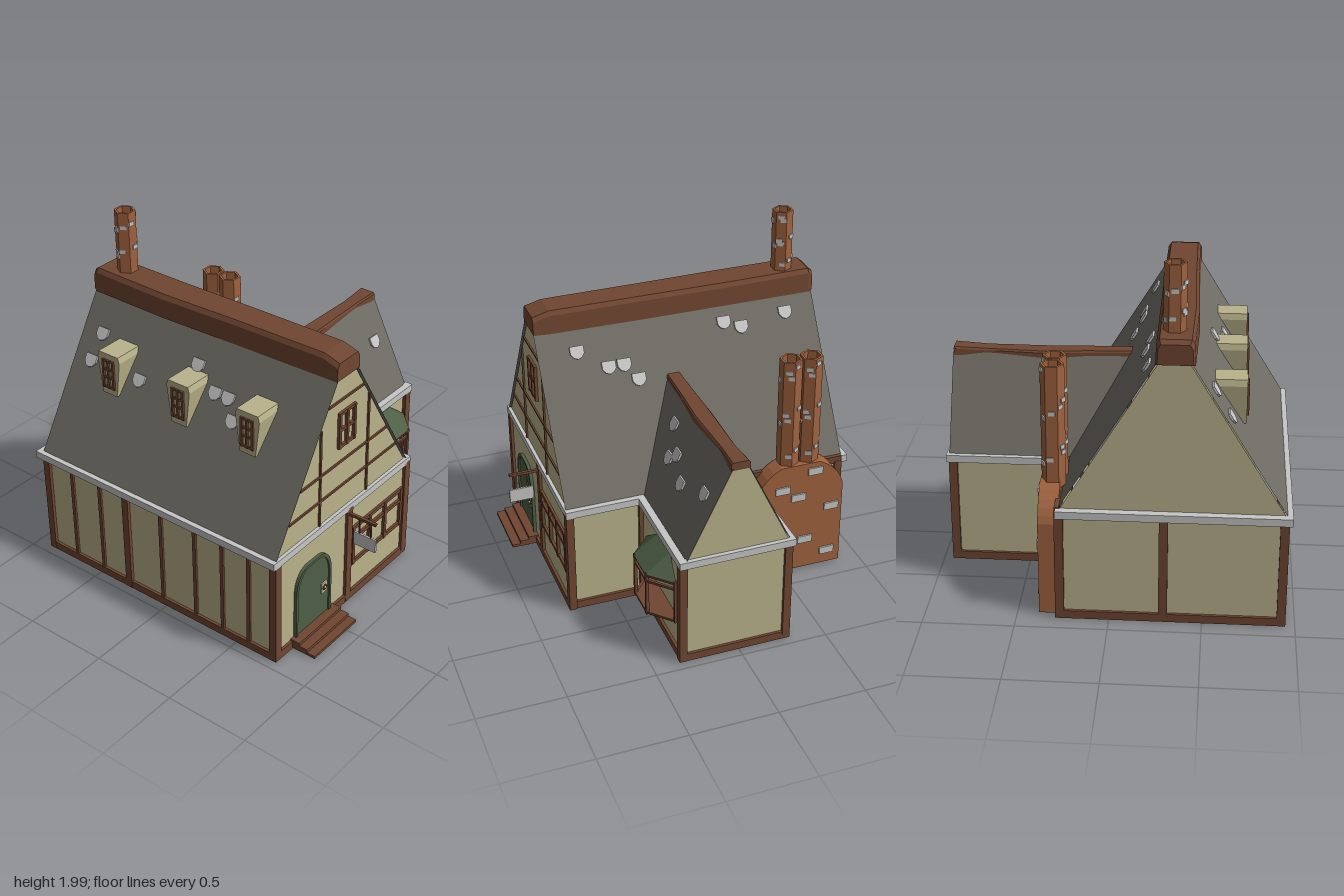
import * as THREE from 'three';

const mat = (name, color, side = THREE.FrontSide) => {
  const m = new THREE.MeshStandardMaterial({ color, side, flatShading: true });
  m.name = name;
  return m;
};

export function createModel() {
  const root = new THREE.Group();
  const cream = mat('plaster', 0xbab38c, THREE.DoubleSide);
  const wood = mat('wood', 0x704632);
  const brick = mat('brick', 0xa0623f);
  const slate = mat('slate', 0x6f6c65, THREE.DoubleSide);
  const stone = mat('stone', 0xc6c6c6, THREE.DoubleSide);
  const green = mat('green', 0x4f5f47);
  const brass = mat('brass', 0xcabf90);

  const add = (name, geo, m, parent = root) => {
    const mesh = new THREE.Mesh(geo, m);
    mesh.name = name;
    parent.add(mesh);
    return mesh;
  };
  const group = (name, parent = root) => {
    const g = new THREE.Group();
    g.name = name;
    parent.add(g);
    return g;
  };
  // Box given by its limits on each axis
  const box = (name, m, x0, x1, y0, y1, z0, z1, parent = root) => {
    const mesh = add(name, new THREE.BoxGeometry(x1 - x0, y1 - y0, z1 - z0), m, parent);
    mesh.position.set((x0 + x1) / 2, (y0 + y1) / 2, (z0 + z1) / 2);
    return mesh;
  };
  // Square bar between two points
  const bar = (name, m, p, q, t, parent = root) => {
    const a = new THREE.Vector3(...p), b = new THREE.Vector3(...q);
    const mesh = add(name, new THREE.BoxGeometry(t, t, a.distanceTo(b) + t * 0.6), m, parent);
    mesh.position.copy(a).add(b).multiplyScalar(0.5);
    mesh.lookAt(b);
    return mesh;
  };
  // Flat convex polygon
  const panel = (name, m, pts) => {
    const idx = [];
    for (let i = 1; i < pts.length - 1; i++) idx.push(0, i, i + 1);
    const g = new THREE.BufferGeometry();
    g.setAttribute('position', new THREE.Float32BufferAttribute(pts.flat(), 3));
    g.setIndex(idx);
    g.computeVertexNormals();
    return add(name, g, m);
  };
  const shapeOf = pts => new THREE.Shape(pts.map(p => new THREE.Vector2(...p)));
  // Upright prism from a plan shape
  const prism = (shape, y0, y1) => new THREE.ExtrudeGeometry(shape, { depth: y1 - y0, bevelEnabled: false })
    .rotateX(-Math.PI / 2).translate(0, y0, 0);

  // L-shaped plan, moved outward by o
  const plan = o => [[-0.93 - o, 0.755 + o], [0.275 + o, 0.755 + o], [0.275 + o, 0.325 + o], [0.93 + o, 0.325 + o],
    [0.93 + o, -0.285 - o], [0.275 + o, -0.285 - o], [0.275 + o, -0.885 - o], [-0.93 - o, -0.885 - o]].map(([x, z]) => [x, -z]);
  const ring = (out, inn, y0, y1) => {
    const s = shapeOf(plan(out));
    s.holes.push(shapeOf(plan(inn)));
    return prism(s, y0, y1);
  };
  add('walls', ring(0, -0.015, 0.02, 0.66), cream);
  add('baseBeam', ring(0.016, -0.03, 0.008, 0.055), wood);

  // Timber posts and studs
  const posts = group('posts');
  for (const [x, z] of [[-0.925, 0.75], [-0.285, 0.75], [0.275, 0.75], [0.275, 0.325], [0.925, 0.325], [0.925, -0.28],
    [0.275, -0.28], [0.265, -0.88], [-0.29, -0.88], [-0.925, -0.88], [-0.925, -0.28], [-0.29, -0.28], [-0.29, 0.325]])
    box('post', wood, x - 0.024, x + 0.024, 0.01, 0.65, z - 0.022, z + 0.022, posts);
  for (const z of [-0.69, -0.48, -0.03, 0.21, 0.4, 0.58])
    box('leftStud', wood, -0.942, -0.92, 0.02, 0.65, z - 0.011, z + 0.011, posts);
  box('sideTopBeam', wood, 0.255, 0.287, 0.635, 0.68, -0.9, -0.29);

  // Inner partitions
  box('partition', stone, 0.27, 0.28, 0.02, 0.65, -0.28, 0.325);
  box('partition', stone, -0.295, -0.285, 0.02, 0.65, -0.28, 0.325);
  box('partition', stone, -0.92, -0.29, 0.02, 0.65, -0.285, -0.275);

  // Pale eaves band
  const eaves = group('eavesBand');
  for (const [x0, x1, z0, z1] of [[-0.965, 0.3, 0.735, 0.772], [-0.965, -0.92, -0.94, 0.772], [-0.965, 0.28, -0.94, -0.885],
    [0.262, 0.3, 0.31, 0.772], [0.262, 0.96, 0.31, 0.35], [0.92, 0.96, -0.315, 0.35], [0.262, 0.96, -0.315, -0.275]])
    box('band', stone, x0, x1, 0.632, 0.675, z0, z1, eaves);

  // Main roof and gables
  const RX = -0.335;
  for (const s of [-1, 1])
    panel('mainRoofSlope', slate, [[RX + s * 0.61, 0.66, 0.765], [RX + s * 0.61, 0.66, -0.905],
      [RX + s * 0.085, 1.52, -0.905], [RX + s * 0.085, 1.52, 0.765]]);
  for (const z of [0.752, -0.895])
    panel('mainGable', cream, [[RX - 0.6, 0.66, z], [RX + 0.6, 0.66, z], [RX + 0.075, 1.52, z], [RX - 0.075, 1.52, z]]);
  // Wing roof and gable
  const RZ = 0.01;
  for (const s of [-1, 1])
    panel('wingRoofSlope', slate, [[-0.05, 0.665, RZ + s * 0.3], [0.945, 0.665, RZ + s * 0.3],
      [0.945, 1.19, RZ + s * 0.045], [-0.05, 1.19, RZ + s * 0.045]]);
  panel('wingGable', cream, [[0.935, 0.66, RZ - 0.295], [0.935, 0.66, RZ + 0.295], [0.935, 1.19, RZ + 0.042], [0.935, 1.19, RZ - 0.042]]);

  // Ridge cap lofted along z; sections are [z, half width, bottom, top, shift]
  const ridge = (sections, c) => {
    const pos = [], idx = [], n = 6;
    for (const [z, w, yb, yt, o] of sections)
      for (const [x, y] of [[-w, yb], [-w * 0.96, yt - c], [-w * 0.8, yt], [w * 0.8, yt], [w * 0.96, yt - c], [w, yb]])
        pos.push(x + o, y, z);
    for (let k = 0; k < sections.length - 1; k++)
      for (let i = 0; i < n; i++) {
        const a = k * n + i, a2 = k * n + (i + 1) % n;
        idx.push(a, a + n, a2 + n, a, a2 + n, a2);
      }
    const e = (sections.length - 1) * n;
    for (let i = 1; i < n - 1; i++) idx.push(0, i, i + 1, e, e + i + 1, e + i);
    const g = new THREE.BufferGeometry();
    g.setAttribute('position', new THREE.Float32BufferAttribute(pos, 3));
    g.setIndex(idx);
    g.computeVertexNormals();
    return g;
  };
  add('mainRidge', ridge([[-0.915, 0.092, 1.51, 1.62, -0.005], [-0.89, 0.102, 1.5, 1.64, -0.005], [-0.4, 0.108, 1.5, 1.635, -0.008],
    [0.1, 0.102, 1.5, 1.637, 0], [0.67, 0.098, 1.503, 1.637, 0.003], [0.765, 0.1, 1.508, 1.61, 0]], 0.025), wood)
    .position.x = RX;
  add('wingRidge', ridge([[-0.07, 0.043, 1.17, 1.22, 0], [0.2, 0.048, 1.17, 1.215, 0], [0.4, 0.056, 1.165, 1.208, 0],
    [0.75, 0.045, 1.17, 1.213, 0], [0.94, 0.055, 1.175, 1.222, 0]], 0.01).rotateY(Math.PI / 2), wood)
    .position.z = RZ;

  // Loose roof tiles: shield shapes laid on the slopes
  const shield = shapeOf([[-0.04, 0.035], [-0.04, -0.008], [-0.024, -0.03], [0, -0.04], [0.024, -0.03], [0.04, -0.008], [0.04, 0.035]]);
  const tileGeo = new THREE.ExtrudeGeometry(shield, { depth: 0.012, bevelEnabled: false });
  const tiles = group('roofTiles');
  const tile = (p, up) => {
    const u = new THREE.Vector3(...up).normalize();
    const flat = new THREE.Vector3(-up[0], 0, -up[2]).normalize();
    const r = new THREE.Vector3(0, 1, 0).cross(flat);
    const mesh = add('tile', tileGeo, stone, tiles);
    mesh.quaternion.setFromRotationMatrix(new THREE.Matrix4().makeBasis(r, u, r.clone().cross(u)));
    mesh.position.set(...p);
  };
  const mainX = y => 0.61 - (y - 0.66) * 0.525 / 0.86;
  for (const [z, y] of [[0.54, 1.395], [0.375, 1.3], [0.285, 1.3], [0.215, 1.22], [-0.34, 1.42], [-0.44, 1.385], [-0.72, 1.42]])
    tile([RX + mainX(y), y, z], [-0.525, 0.86, 0]);
  for (const [x, z] of [[-0.63, -0.78], [-0.545, -0.76], [-0.63, -0.42], [-0.525, -0.08], [-0.58, 0.08], [-0.58, 0.17], [-0.635, 0.24]])
    tile([x, 0.66 + (x + 0.945) * 0.86 / 0.525, z], [0.525, 0.86, 0]);
  for (const [x, y] of [[0.235, 1.07], [0.4, 0.975], [0.335, 0.925], [0.56, 0.895], [0.81, 0.975]])
    tile([x, y, RZ + 0.3 - (y - 0.665) * 0.255 / 0.525], [0, 0.525, -0.255]);

  // Window frame centred on the origin, facing +z
  const windowFrame = (name, w, h, t, verticals, horizontals) => {
    const g = group(name);
    for (const x of [-w / 2 + t / 2, w / 2 - t / 2, ...verticals]) box('upright', wood, x - t / 2, x + t / 2, -h / 2, h / 2, -0.01, 0.015, g);
    for (const y of [-h / 2 + t / 2, h / 2 - t / 2, ...horizontals]) box('crossbar', wood, -w / 2, w / 2, y - t / 2, y + t / 2, -0.01, 0.012, g);
    return g;
  };
  windowFrame('frontWindow', 0.49, 0.255, 0.022, [-0.075, 0.075], [0.045]).position.set(-0.007, 0.363, 0.757);
  windowFrame('gableWindow', 0.15, 0.22, 0.018, [0], [0]).position.set(-0.328, 1.193, 0.754);

  // Gable timbers
  const timbers = group('gableTimbers');
  for (const [y, x0, x1] of [[0.83, -0.82, 0.15], [0.99, -0.725, 0.055], [1.375, -0.49, -0.18]])
    box('rail', wood, x0, x1, y - 0.006, y + 0.006, 0.75, 0.761, timbers);
  box('stud', wood, -0.559, -0.547, 0.67, 1.27, 0.75, 0.762, timbers);
  box('stud', wood, -0.13, -0.117, 0.67, 1.3, 0.75, 0.762, timbers);

  // Dormers on the left slope, narrowing downward
  const dormerShape = shapeOf([[-0.052, 1.07], [0.052, 1.07], [0.08, 1.29], [0.07, 1.325], [-0.07, 1.325], [-0.08, 1.29]]);
  for (const z of [-0.57, -0.07, 0.4]) {
    const g = new THREE.ExtrudeGeometry(dormerShape, { depth: 0.18, bevelEnabled: false });
    g.rotateY(-Math.PI / 2).translate(-0.53, 0, z);
    add('dormer', g, cream);
    const w = windowFrame('dormerWindow', 0.085, 0.18, 0.014, [0], [-0.02, 0.03]);
    w.rotation.y = -Math.PI / 2;
    w.position.set(-0.706, 1.2, z);
  }

  // Arched door with raised surround, lock plate and knob
  const arch = (w, y0, top) => {
    const s = new THREE.Shape();
    s.moveTo(-w, y0);
    s.lineTo(w, y0);
    s.lineTo(w, top - 0.16);
    s.bezierCurveTo(w, top - 0.04, w * 0.6, top, w * 0.3, top);
    s.lineTo(-w * 0.3, top);
    s.bezierCurveTo(-w * 0.6, top, -w, top - 0.04, -w, top - 0.16);
    return s;
  };
  const door = group('door');
  door.position.set(-0.612, 0, 0.75);
  const surround = arch(0.158, 0.055, 0.492);
  surround.holes.push(arch(0.142, 0.056, 0.475));
  add('doorSurround', new THREE.ExtrudeGeometry(surround, { depth: 0.024, bevelEnabled: false }), green, door);
  add('doorLeaf', new THREE.ExtrudeGeometry(arch(0.143, 0.055, 0.476), { depth: 0.014, bevelEnabled: false }), green, door);
  box('lockPlate', brass, 0.074, 0.126, 0.213, 0.28, 0.012, 0.021, door);
  add('knobRing', new THREE.TorusGeometry(0.015, 0.004, 6, 12), wood, door).position.set(0.1, 0.247, 0.022);
  add('knob', new THREE.SphereGeometry(0.009, 8, 6), brass, door).position.set(0.1, 0.247, 0.026);
  [[0.01, 0.027, 0.918], [0.027, 0.045, 0.868], [0.045, 0.063, 0.815]].forEach(([y0, y1, z]) =>
    box('doorStep', wood, -0.798, -0.413, y0, y1, 0.74, z));

  // Hanging board beside the door
  const sign = group('hangingBoard');
  box('bracket', wood, -0.296, -0.278, 0.6, 0.616, 0.76, 0.942, sign);
  for (const z of [0.835, 0.91]) box('hanger', wood, -0.29, -0.284, 0.5, 0.605, z - 0.004, z + 0.004, sign);
  box('board', stone, -0.293, -0.281, 0.425, 0.508, 0.802, 0.945, sign);

  // Bay window: open timber frame under a hipped green roof
  const bay = group('bayWindow');
  const foot = [[0.43, 0.345], [0.56, 0.463], [0.75, 0.463], [0.877, 0.345]];
  for (const [x, z] of foot) bar('bayPost', wood, [x, 0.24, z], [x, 0.5, z], 0.018, bay);
  for (let i = 0; i < 3; i++)
    for (const y of [0.245, 0.455, 0.492])
      bar('bayRail', wood, [foot[i][0], y, foot[i][1]], [foot[i + 1][0], y, foot[i + 1][1]], 0.014, bay);
  add('baySill', prism(shapeOf([...foot, [0.877, 0.325], [0.43, 0.325]].map(([x, z]) => [x, -z])), 0.237, 0.25), wood, bay);
  const E = [[0.415, 0.5, 0.325], [0.415, 0.5, 0.345], [0.555, 0.5, 0.474], [0.755, 0.5, 0.474], [0.887, 0.5, 0.345], [0.887, 0.5, 0.325]];
  const T = [[0.56, 0.607, 0.33], [0.75, 0.607, 0.33]];
  panel('bayRoofLeft', green, [E[1], E[2], T[0]]);
  panel('bayRoofFront', green, [E[2], E[3], T[1], T[0]]);
  panel('bayRoofRight', green, [E[3], E[4], T[1]]);
  panel('bayRoofUnder', green, [...E].reverse());

  // Great chimney breast with rounded shoulders
  const breast = new THREE.Shape();
  breast.moveTo(0.33, 0.02);
  breast.lineTo(0.87, 0.02);
  breast.lineTo(0.87, 0.56);
  breast.quadraticCurveTo(0.845, 0.67, 0.72, 0.735);
  breast.lineTo(0.48, 0.735);
  breast.quadraticCurveTo(0.355, 0.67, 0.33, 0.56);
  add('chimneyBreast', new THREE.ExtrudeGeometry(breast, { depth: 0.11, bevelEnabled: false, curveSegments: 5 })
    .rotateY(Math.PI / 2).translate(0.27, 0, 0), brick);
  for (const [z, y] of [[-0.69, 0.68], [-0.49, 0.585], [-0.59, 0.52], [-0.8, 0.42], [-0.43, 0.22], [-0.64, 0.22], [-0.785, 0.11]])
    box('breastStone', stone, 0.37, 0.39, y - 0.023, y + 0.023, z - 0.045, z + 0.045);

  // Hollow six-sided flues with scattered pale bricks
  const hex = r => shapeOf([0, 1, 2, 3, 4, 5].map(i => [r * Math.cos(i * Math.PI / 3), r * Math.sin(i * Math.PI / 3)]));
  const flue = (x, z, y0, y1, r, count) => {
    const g = group('flue');
    g.position.set(x, 0, z);
    const s = hex(r);
    s.holes.push(hex(r * 0.78));
    add('flueShaft', prism(s, y0, y1), brick, g);
    add('flueFloor', prism(hex(r * 0.8), y0, y1 - 0.05), brick, g);
    for (let i = 0; i < count; i++) {
      const a = Math.PI / 6 + ((i * 5 + (i >> 2)) % 6) * Math.PI / 3, d = r * 0.866, side = (i % 3 - 1) * 0.012;
      const b = add('flueBrick', new THREE.BoxGeometry(0.036, 0.024, 0.012), stone, g);
      b.rotation.y = Math.PI / 2 - a;
      b.position.set(Math.cos(a) * d - Math.sin(a) * side, y0 + 0.1 + (y1 - y0 - 0.13) * i / (count - 1), Math.sin(a) * d + Math.cos(a) * side);
    }
  };
  flue(RX + 0.005, -0.75, 1.58, 2, 0.06, 17);
  flue(0.31, -0.542, 0.7, 1.4, 0.065, 18);
  flue(0.31, -0.665, 0.7, 1.4, 0.065, 18);
  return root;
}
